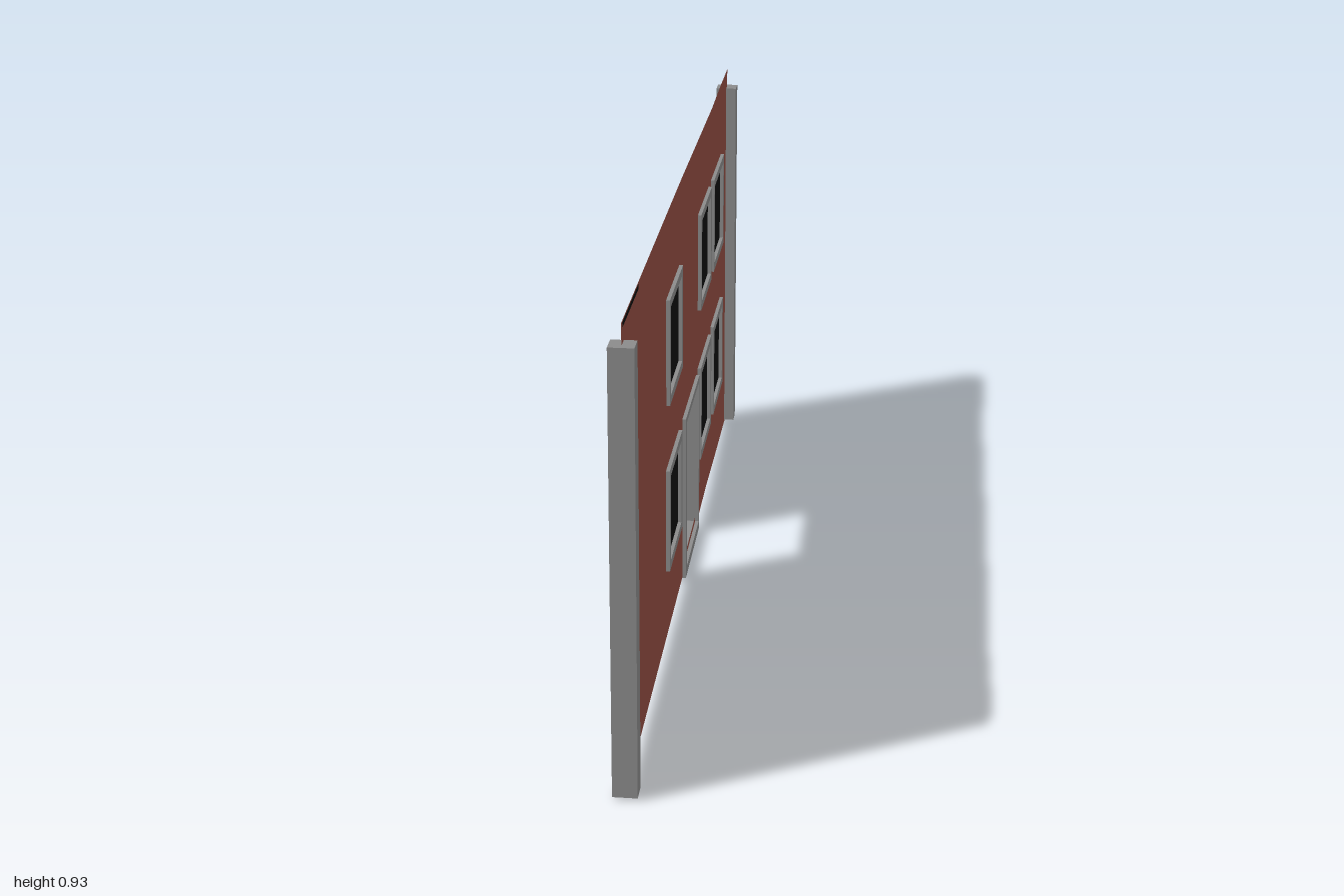
import * as THREE from 'three';

const brick = new THREE.MeshStandardMaterial({ color: 0x954f43, side: THREE.DoubleSide });
brick.name = 'brick red';
const stone = new THREE.MeshStandardMaterial({ color: 0x8b8b8b });
stone.name = 'stone grey';
const black = new THREE.MeshStandardMaterial({ color: 0x0e0e0e, side: THREE.DoubleSide });
black.name = 'glass black';

// Openings as outer frame edges: [z min, z max, y min, y max]
const windows = [
  [0.09, 0.33, 0.53, 0.755], [-0.525, -0.285, 0.53, 0.755], [-0.825, -0.58, 0.53, 0.755],
  [0.105, 0.34, 0.165, 0.39], [-0.525, -0.285, 0.165, 0.39], [-0.815, -0.58, 0.165, 0.39],
];
const door = [-0.25, 0.035, 0.01, 0.387];

function rect([z0, z1, y0, y1], Type = THREE.Shape) {
  const p = new Type();
  p.moveTo(z0, y0);
  p.lineTo(z1, y0);
  p.lineTo(z1, y1);
  p.lineTo(z0, y1);
  p.closePath();
  return p;
}

const inset = ([z0, z1, y0, y1], d) => [z0 + d, z1 - d, y0 + d, y1 - d];

// Drawn in (z, y), then turned into the wall plane
function addMesh(group, name, geometry, material, x = 0) {
  geometry.rotateY(-Math.PI / 2);
  geometry.translate(x, 0, 0);
  const mesh = new THREE.Mesh(geometry, material);
  mesh.name = name;
  group.add(mesh);
}

function addFrame(group, name, outer, inner) {
  const shape = rect(outer);
  shape.holes.push(rect(inner, THREE.Path));
  const geometry = new THREE.ExtrudeGeometry(shape, { depth: 0.03, bevelEnabled: false });
  addMesh(group, name, geometry, stone, 0.008);
}

export function createModel() {
  const group = new THREE.Group();
  group.name = 'wall section';

  // Thin wall sheet with slightly uneven top and bottom edges
  const outline = [
    [0.99, 0.01], [0.99, 0.93], [0.05, 0.93], [-0.25, 0.927], [-0.6, 0.924], [-0.8, 0.929], [-0.985, 0.93],
    [-0.985, 0.002], [-0.75, 0.006], [-0.5, 0.014], [-0.25, 0.012],
  ].map(([z, y]) => new THREE.Vector2(z, y));
  const wall = new THREE.Shape(outline);
  for (const w of windows) wall.holes.push(rect(inset(w, 0.012), THREE.Path));
  wall.holes.push(rect([-0.245, 0.025, 0.042, 0.38], THREE.Path));
  addMesh(group, 'wall', new THREE.ShapeGeometry(wall), brick);

  // Dark edge strip at the top front corner
  const strip = new THREE.ShapeGeometry(rect([0.77, 0.99, 0.921, 0.931]));
  addMesh(group, 'topEdgeStrip', strip, black, 0.002);

  // Windows
  for (const w of windows) {
    addFrame(group, 'windowFrame', w, inset(w, 0.018));
    addMesh(group, 'windowGlass', new THREE.ShapeGeometry(rect(inset(w, 0.012))), black);
  }

  // Open doorway with sill
  addFrame(group, 'doorFrame', door, [-0.238, 0.016, 0.03, 0.373]);

  // End posts
  for (const side of [1, -1]) {
    const post = new THREE.Mesh(new THREE.BoxGeometry(0.048, 0.88, 0.043), stone);
    post.name = side > 0 ? 'frontPost' : 'backPost';
    post.position.set(0, 0.448, side * 0.9785);
    group.add(post);
  }
  return group;
}
